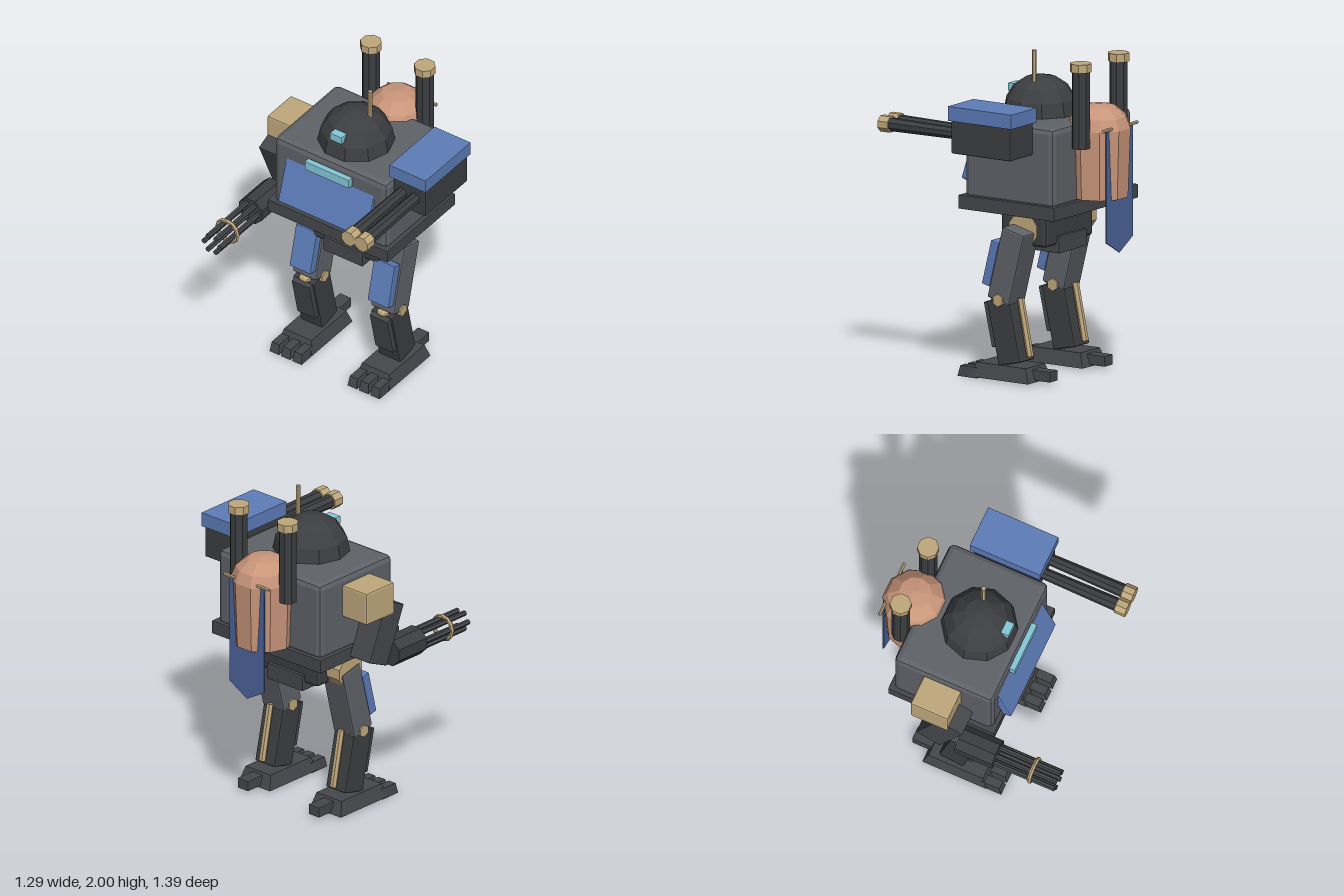
import * as THREE from 'three';
import { RoundedBoxGeometry } from 'three/addons/geometries/RoundedBoxGeometry.js';

const paint = (color, side = THREE.FrontSide) => new THREE.MeshStandardMaterial({ color, flatShading: true, side });
const HULL = paint(0x5f6268), DARK = paint(0x45474b), BLACK = paint(0x3c3e41), BLUE = paint(0x5d7cb8);
const TAN = paint(0xc0a87c), CLAY = paint(0xc8957a), CYAN = paint(0x84c8d8), CLOTH = paint(0x4c659c, THREE.DoubleSide);
const CX = -0.03; // centre line of the body

export function createModel() {
  const root = new THREE.Group();
  root.name = 'walkerRobot';

  function add(name, geometry, material, x, y, z, rx = 0, parent = root) {
    const mesh = new THREE.Mesh(geometry, material);
    mesh.name = name;
    mesh.position.set(x, y, z);
    mesh.rotation.x = rx;
    parent.add(mesh);
    return mesh;
  }
  // box with chamfered edges
  const box = (w, h, d, c = 0.008) => new RoundedBoxGeometry(w, h, d, 1, c);
  // cylinders along y, z and x, turned so that flats face the sides
  const cylY = (r, h, n = 8, top = r) => new THREE.CylinderGeometry(top, r, h, n).rotateY(Math.PI / n);
  const cylZ = (r, h, n = 8, front = r) => cylY(r, h, n, front).rotateX(Math.PI / 2);
  const cylX = (r, h, n = 8) => cylY(r, h, n).rotateZ(Math.PI / 2);

  // Body
  add('hull', box(0.84, 0.5, 0.655, 0.036), HULL, CX, 1.352, -0.127);
  add('basePlate', box(0.89, 0.085, 0.705, 0.004), DARK, CX, 1.085, -0.126);
  add('chestPlate', box(0.655, 0.305, 0.064, 0.012), BLUE, CX, 1.34, 0.213, -0.31);
  add('chestSlit', box(0.326, 0.062, 0.06, 0.003), CYAN, CX, 1.521, 0.206);
  add('pelvis', box(0.503, 0.19, 0.335, 0.022), BLACK, CX + 0.006, 0.918, -0.122);
  add('hipBlock', box(0.29, 0.105, 0.38, 0.004), DARK, CX + 0.003, 0.83, -0.12);

  // Head
  const domeGeo = new THREE.SphereGeometry(0.236, 10, 4, 0, Math.PI * 2, 0, Math.PI / 2);
  add('headDome', domeGeo, BLACK, CX, 1.6, -0.073);
  add('eye', box(0.088, 0.052, 0.07, 0.003), CYAN, CX, 1.737, 0.105);
  add('antenna', cylY(0.015, 0.28, 6), TAN, 0.063, 1.86, -0.088);

  // Back tank, cloth and its rod
  const tankProfile = [[0, 1.135], [0.184, 1.135], [0.2, 1.56], [0.172, 1.63], [0.1, 1.69], [0, 1.705]]
    .map(([r, y]) => new THREE.Vector2(r, y));
  add('backTank', new THREE.LatheGeometry(tankProfile, 10, Math.PI / 10), CLAY, CX, 0, -0.5);
  add('clothRod', cylX(0.011, 0.365, 6), TAN, CX, 1.575, -0.655);
  const cloth = new THREE.Shape();
  [[-0.14, 1.57], [-0.14, 0.88], [0, 0.8], [0.14, 0.88], [0.14, 1.57]]
    .forEach(([x, y], i) => (i ? cloth.lineTo(x, y) : cloth.moveTo(x, y)));
  const clothGeo = new THREE.ExtrudeGeometry(cloth, { depth: 0.008, bevelEnabled: false });
  add('backCloth', clothGeo, CLOTH, CX, 0, -0.653);

  // Upright stacks behind the hull
  for (const s of [-1, 1]) {
    add('stack', cylY(0.056, 0.5), BLACK, CX + s * 0.2, 1.71, -0.506);
    add('stackCap', cylY(0.067, 0.052), TAN, CX + s * 0.2, 1.959, -0.506);
  }

  // Right arm with rotary gun
  const gun = new THREE.Group();
  gun.name = 'rotaryGun';
  gun.position.set(-0.557, 1.04, 0);
  root.add(gun);
  add('rightShoulder', box(0.21, 0.21, 0.25, 0.012), TAN, -0.54, 1.44, -0.128);
  add('rightArm', box(0.165, 0.39, 0.17, 0.006), DARK, -0.557, 1.219, -0.064, 0.4);
  add('receiver', cylZ(0.092, 0.25), BLACK, 0, 0, 0.165, 0, gun);
  for (let i = 0; i < 6; i++) {
    const a = (i * Math.PI) / 3;
    add('gunBarrel', cylZ(0.017, 0.42, 6), DARK, 0.058 * Math.cos(a), 0.058 * Math.sin(a), 0.485, 0, gun);
  }
  add('barrelRing', new THREE.TorusGeometry(0.075, 0.014, 6, 12), TAN, 0, 0, 0.53, 0, gun);

  // Left shoulder pod with twin cannons
  add('podBody', box(0.24, 0.21, 0.435, 0.008), BLACK, 0.51, 1.535, -0.088);
  add('podLid', box(0.27, 0.09, 0.468, 0.002), BLUE, 0.508, 1.677, -0.088);
  for (const x of [0.456, 0.553]) {
    add('cannonBarrel', cylZ(0.036, 0.56, 8, 0.043), BLACK, x, 1.54, 0.36);
    add('cannonMuzzle', cylZ(0.053, 0.072), TAN, x, 1.54, 0.656);
  }

  // Foot block, narrower on top
  function footGeometry() {
    const g = new THREE.BoxGeometry(0.25, 0.09, 0.425);
    const p = g.attributes.position;
    for (let i = 0; i < p.count; i++) {
      if (p.getY(i) > 0) {
        p.setX(i, p.getX(i) * 0.82);
        p.setZ(i, p.getZ(i) * 0.85);
      }
    }
    return g;
  }
  // Toe that slopes down to the front
  function toeGeometry() {
    const g = new THREE.BoxGeometry(0.07, 0.066, 0.14);
    const p = g.attributes.position;
    for (let i = 0; i < p.count; i++) {
      if (p.getY(i) > 0) {
        p.setX(i, p.getX(i) * 0.8);
        if (p.getZ(i) > 0) p.setZ(i, 0.055);
      }
    }
    return g;
  }

  // Legs
  for (const [name, x, hipX] of [['rightLeg', -0.32, -0.025], ['leftLeg', 0.26, -0.08]]) {
    const leg = new THREE.Group();
    leg.name = name;
    leg.position.x = x;
    root.add(leg);
    const part = (n, g, m, px, y, z, rx) => add(n, g, m, px, y, z, rx, leg);
    part('hipJoint', cylX(0.105, 0.107, 10), TAN, hipX, 0.922, -0.125);
    part('thigh', box(0.175, 0.46, 0.165, 0.012), HULL, 0, 0.708, -0.072, -0.245);
    part('thighPlate', box(0.155, 0.285, 0.06, 0.006), BLUE, 0, 0.712, 0.046, -0.245);
    part('kneePin', cylX(0.04, 0.195, 6), TAN, 0, 0.493, -0.022);
    part('kneeCap', new THREE.SphereGeometry(0.045, 8, 6).scale(1, 0.5, 0.6), TAN, 0, 0.485, 0.055);
    part('shin', box(0.16, 0.4, 0.165, 0.01), BLACK, 0, 0.3, -0.052, 0.22);
    part('shinPlate', box(0.135, 0.28, 0.05, 0.005), DARK, 0, 0.335, 0.047, 0.22);
    part('calfPiston', cylY(0.022, 0.36, 6), TAN, 0, 0.328, -0.16, 0.2);
    part('foot', footGeometry(), DARK, 0, 0.053, -0.052);
    for (const t of [-1, 0, 1]) part('toe', toeGeometry(), DARK, t * 0.084, 0.033, 0.187);
    part('heelSpur', box(0.085, 0.065, 0.17, 0.004), DARK, 0, 0.05, -0.285);
  }
  return root;
}
